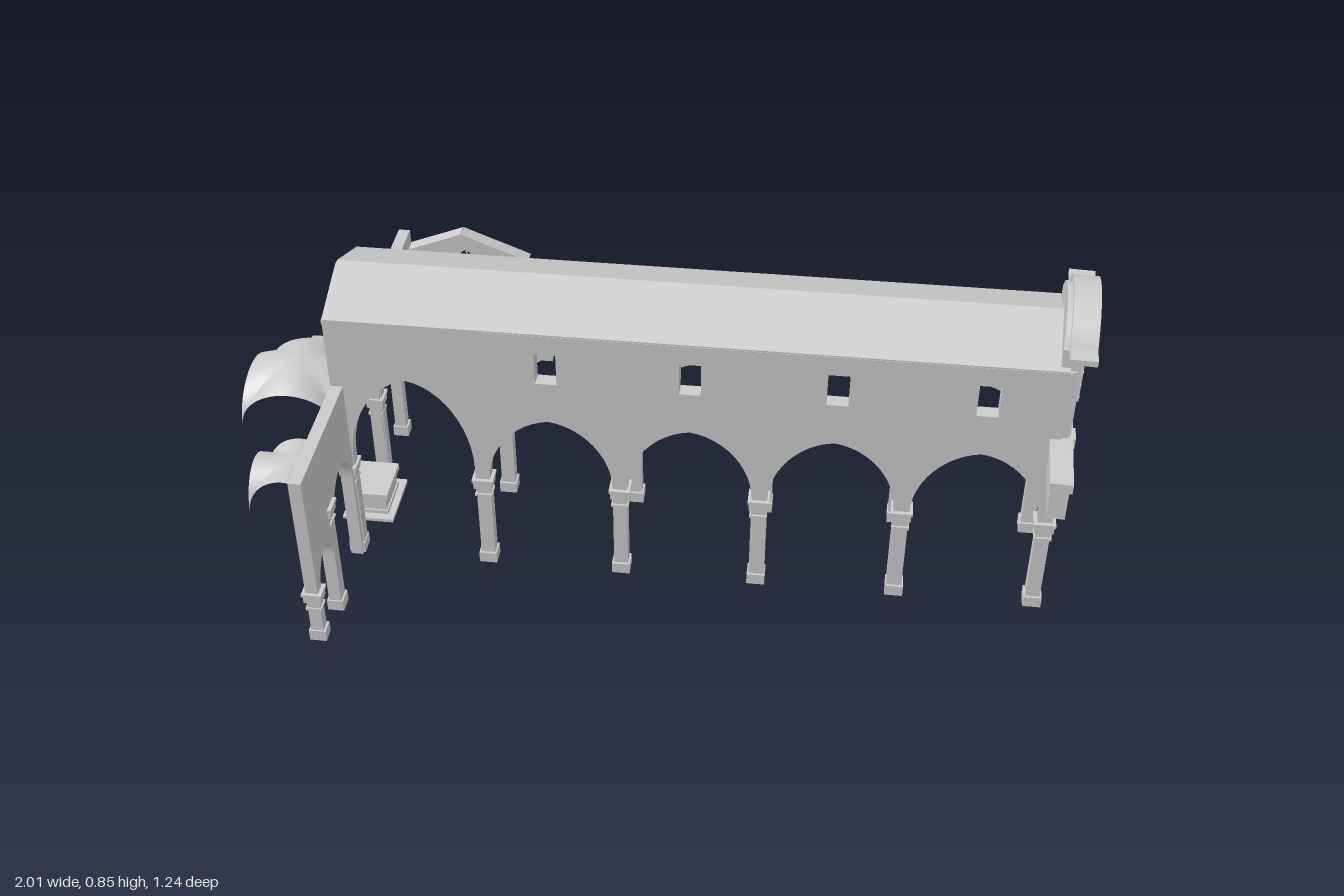
import * as THREE from 'three';
import { toCreasedNormals } from 'three/addons/utils/BufferGeometryUtils.js';

const grey = new THREE.MeshStandardMaterial({ color: 0xcccccc });
const thin = new THREE.MeshStandardMaterial({ color: 0xcccccc, side: THREE.DoubleSide });

function add(parent, name, geometry, x = 0, y = 0, z = 0, material = grey) {
  const mesh = new THREE.Mesh(geometry, material);
  mesh.name = name;
  mesh.position.set(x, y, z);
  parent.add(mesh);
  return mesh;
}

// box given by its minimum and maximum on each axis
function block(parent, name, x0, x1, y0, y1, z0, z1) {
  return add(parent, name, new THREE.BoxGeometry(x1 - x0, y1 - y0, z1 - z0),
    (x0 + x1) / 2, (y0 + y1) / 2, (z0 + z1) / 2);
}

function group(parent, name, x = 0, y = 0, z = 0, turn = 0) {
  const g = new THREE.Group();
  g.name = name;
  g.position.set(x, y, z);
  g.rotation.y = turn;
  parent.add(g);
  return g;
}

const extrude = (shape, depth) =>
  new THREE.ExtrudeGeometry(shape, { depth, bevelEnabled: false, curveSegments: 16 });

// slightly pointed arch, left springing to right springing
function archPoints(c, half, spring, apex, n = 24) {
  return Array.from({ length: n + 1 }, (_, i) => {
    const t = Math.PI * (1 - i / n), u = Math.cos(t);
    return new THREE.Vector2(c + half * u,
      spring + (apex - spring) * (0.9 * Math.sin(t) + 0.1 * (1 - Math.abs(u))));
  });
}

// wall outline: openings are [centre, half width, springing, apex]; feet are the pier bottoms
function arcade(a, b, top, openings, feet) {
  const pts = [new THREE.Vector2(a, feet[0])];
  openings.forEach(([c, h, s, p], i) => pts.push(new THREE.Vector2(c - h, feet[i]),
    ...archPoints(c, h, s, p), new THREE.Vector2(c + h, feet[i + 1])));
  pts.push(new THREE.Vector2(b, feet[feet.length - 1]), ...top.map(([x, y]) => new THREE.Vector2(x, y)));
  return new THREE.Shape(pts);
}

const rectHole = (x0, x1, y0, y1) => new THREE.Path(
  [[x0, y0], [x0, y1], [x1, y1], [x1, y0]].map(p => new THREE.Vector2(...p)));

const archHole = (c, half, y0, spring, apex) => new THREE.Path([
  new THREE.Vector2(c - half, y0), ...archPoints(c, half, spring, apex, 12), new THREE.Vector2(c + half, y0)]);

// base and capital mouldings around a square pier
function pierTrim(parent, x, z, w, d, foot, cap) {
  const ring = (name, y0, y1, e) =>
    block(parent, name, x - w / 2 - e, x + w / 2 + e, y0, y1, z - d / 2 - e, z + d / 2 + e);
  ring('pierBase', foot, foot + 0.03, 0.004);
  ring('capitalNeck', cap - 0.025, cap - 0.018, 0.003);
  ring('capital', cap, cap + 0.02, 0.005);
  ring('capitalSlab', cap + 0.02, cap + 0.028, 0.008);
}

// groin vault: the higher of two crossing barrels, lifted a little at the crown
function vault(parent, x0, x1, z0, z1, spring, rise, crown) {
  const g = new THREE.PlaneGeometry(2, 2, 24, 24).rotateX(-Math.PI / 2);
  const p = g.attributes.position;
  for (let i = 0; i < p.count; i++) {
    const u = Math.sin(p.getX(i) * Math.PI / 2), v = Math.sin(p.getZ(i) * Math.PI / 2);
    const f = t => Math.sqrt(Math.max(0, 1 - t * t));
    p.setXYZ(i, u * (x1 - x0) / 2,
      spring + rise * Math.max(f(u), f(v)) + crown * (1 - u * u) * (1 - v * v), v * (z1 - z0) / 2);
  }
  add(parent, 'groinVault', toCreasedNormals(g, 0.5), (x0 + x1) / 2, 0, (z0 + z1) / 2, thin);
}

// stepped altar
function altar(parent, x, z, w, d) {
  const a = group(parent, 'altar', x, 0, z);
  const tier = (name, s, y0, y1) => block(a, name, -w / 2 * s, w / 2 * s, y0, y1, -d / 2 * s, d / 2 * s);
  tier('altarStep', 1, 0.037, 0.046);
  tier('altarFoot', 0.74, 0.046, 0.056);
  tier('altarBody', 0.68, 0.056, 0.096);
  tier('altarTable', 0.8, 0.096, 0.112);
}

export function createModel() {
  const model = new THREE.Group();
  model.name = 'church';

  // nave side walls with arcades, window bands and piers
  const bays = [-0.237, 0.0975, 0.435, 0.7725];
  const piers = [-0.405, -0.07, 0.265, 0.605, 0.94];
  for (const side of [-1, 1]) {
    const nave = group(model, side > 0 ? 'frontNaveWall' : 'backNaveWall', 0, 0, 0.105);
    const z = side * 0.135;
    const wall = arcade(-0.755, 0.957, [[0.957, 0.71], [-0.755, 0.71]],
      [[-0.572, 0.15, 0.3, side > 0 ? 0.55 : 0.52], ...bays.map(c => [c, 0.15, 0.27, 0.46])],
      [0, 0, 0, 0, 0, 0]);
    const band = new THREE.Shape([[-0.39, 0.495], [0.945, 0.495], [0.945, 0.71], [-0.39, 0.71]]
      .map(p => new THREE.Vector2(...p)));
    for (const c of bays) {
      wall.holes.push(rectHole(c - 0.025, c + 0.025, 0.575, 0.66));
      band.holes.push(rectHole(c - 0.025, c + 0.025, 0.575, 0.66));
    }
    add(nave, 'arcadeWall', extrude(wall, 0.03), 0, 0, z - 0.015);
    add(nave, 'windowBand', extrude(band, 0.006), 0, 0, side > 0 ? 0.15 : -0.156);
    for (const x of piers) pierTrim(nave, x, z, 0.036, 0.034, 0, 0.24);
    pierTrim(nave, -0.74, z, 0.032, 0.036, 0, 0.25);
    block(nave, 'eavesMoulding', -0.755, 0.93, 0.698, 0.712, z - 0.019, z + 0.019);
  }

  // pitched roof, a thin folded slab
  const roof = new THREE.Shape([[-0.155, 0.708], [-0.155, 0.714], [0, 0.777], [0.155, 0.714], [0.155, 0.708], [0, 0.765]]
    .reverse().map(p => new THREE.Vector2(...p)));
  add(model, 'naveRoof', extrude(roof, 1.69), 0.94, 0, 0.105).rotation.y = -Math.PI / 2;

  // transept wall with end gable, rose window and lancet
  const cross = group(model, 'transeptWall', -0.725, 0, 0, -Math.PI / 2);
  const tw = arcade(-0.435, 0.612,
    [[0.612, 0.52], [0.255, 0.52], [0.255, 0.71], [0.105, 0.768], [-0.045, 0.71], [-0.045, 0.52], [-0.435, 0.52]],
    [[-0.3225, 0.0825, 0.25, 0.355], [-0.13, 0.08, 0.25, 0.355], [0.11, 0.12, 0.33, 0.47],
      [0.3525, 0.0825, 0.25, 0.355], [0.5275, 0.0575, 0.18, 0.26]], [0.04, 0, 0, 0, 0, 0.04]);
  tw.holes.push(new THREE.Path().absarc(0.105, 0.6, 0.047, 0, Math.PI * 2));
  tw.holes.push(archHole(-0.23, 0.016, 0.385, 0.455, 0.488));
  add(cross, 'wall', extrude(tw, 0.03));
  add(cross, 'roseWindowRing', new THREE.TorusGeometry(0.048, 0.007, 8, 32), 0.105, 0.6, 0.03);
  block(cross, 'lancetMullion', -0.232, -0.228, 0.385, 0.48, 0.012, 0.018);
  block(cross, 'lancetSill', -0.25, -0.21, 0.377, 0.385, -0.005, 0.035);
  pierTrim(cross, -0.225, 0.015, 0.03, 0.032, 0, 0.21);
  pierTrim(cross, 0.4525, 0.015, 0.034, 0.032, 0, 0.298);
  pierTrim(cross, 0.598, 0.015, 0.028, 0.032, 0.04, 0.16);

  // gabled end wall of the back transept
  const end = group(model, 'backTransept', 0, 0, -0.435);
  const ew = arcade(-0.755, -0.405, [[-0.405, 0.46], [-0.58, 0.53], [-0.755, 0.46]],
    [[-0.6525, 0.07, 0.3, 0.372], [-0.4915, 0.07, 0.3, 0.372]], [0.04, 0.3, 0.04]);
  ew.holes.push(archHole(-0.572, 0.02, 0.4, 0.45, 0.485));
  add(end, 'gableWall', extrude(ew, 0.026));
  block(end, 'lancetMullion', -0.574, -0.57, 0.4, 0.48, 0.01, 0.016);
  add(end, 'column', new THREE.CylinderGeometry(0.011, 0.013, 0.24, 16), -0.572, 0.175, 0.013);
  block(end, 'columnBase', -0.59, -0.554, 0.04, 0.06, -0.005, 0.031);
  add(end, 'columnCapital', new THREE.CylinderGeometry(0.023, 0.012, 0.022, 16), -0.572, 0.286, 0.013);
  block(end, 'columnAbacus', -0.593, -0.551, 0.297, 0.312, -0.006, 0.032);
  for (const x of [-0.414, -0.739]) pierTrim(end, x, 0.013, 0.02, 0.026, 0.04, 0.28);
  for (const s of [-1, 1]) {
    const coping = block(end, 'gableCoping', -0.095, 0.095, -0.005, 0.005, -0.006, 0.032);
    coping.position.set(-0.58 + s * 0.0875, 0.497, 0.013);
    coping.rotation.z = -s * Math.atan2(0.07, 0.175);
  }

  // chapel vaults
  vault(model, -1, -0.755, -0.015, 0.225, 0.355, 0.1, 0.03);
  for (const [z0, z1] of [[-0.41, -0.245], [-0.22, -0.055], [0.26, 0.425]])
    vault(model, -0.935, -0.755, z0, z1, 0.25, 0.105, 0);

  // back screen and altars
  block(model, 'backScreen', -0.9, -0.385, 0.005, 0.303, -0.615, -0.585);
  altar(model, -0.717, -0.537, 0.165, 0.1);
  altar(model, -0.49, -0.537, 0.135, 0.1);
  altar(model, -0.73, 0.105, 0.13, 0.16);

  // facade, turned slightly; local -z faces outward
  const facade = group(model, 'facade', 0.955, 0, 0.12, -Math.PI / 2 - 0.05);
  const R = 0.158, cy = 0.692;
  const face = new THREE.Shape();
  face.moveTo(-0.13, 0.525).lineTo(0.13, 0.525).lineTo(0.13, 0.765);
  face.absarc(0, cy, R - 0.015, Math.asin(0.51), Math.PI - Math.asin(0.51), false);
  face.lineTo(-0.13, 0.765);
  face.holes.push(archHole(-0.013, 0.045, 0.565, 0.588, 0.633));
  add(facade, 'frontWall', extrude(face, 0.045), 0, 0, -0.015);

  // arched cornice in two steps, with short level ends
  const cornice = (outer, thick, reach, z0, depth) => {
    const s = new THREE.Shape(), a = Math.asin((0.777 - cy) / R), inner = outer - thick;
    s.moveTo(reach, 0.777 - thick).lineTo(reach, 0.777);
    s.absarc(0, cy, outer, a, Math.PI - a, false);
    s.lineTo(-reach, 0.777).lineTo(-reach, 0.777 - thick);
    const b = Math.asin((0.777 - thick - cy) / inner);
    s.absarc(0, cy, inner, Math.PI - b, b, true);
    add(facade, 'archedCornice', extrude(s, depth), 0, 0, z0);
  };
  cornice(R, 0.014, 0.18, -0.042, 0.06);
  cornice(R - 0.01, 0.024, 0.165, -0.03, 0.045);

  // facade window: surround, bars and hood
  const rim = new THREE.Shape(archHole(-0.013, 0.054, 0.56, 0.588, 0.643).getPoints());
  rim.holes.push(archHole(-0.013, 0.045, 0.565, 0.588, 0.633));
  add(facade, 'windowSurround', extrude(rim, 0.012), 0, 0, -0.025);
  for (let i = -3; i <= 3; i++)
    block(facade, 'windowBar', -0.0145 + i * 0.017, -0.0115 + i * 0.017, 0.56, 0.658, -0.03, -0.026);
  for (const y of [0.575, 0.61, 0.645])
    block(facade, 'windowCrossBar', -0.072, 0.046, y, y + 0.003, -0.03, -0.026);
  block(facade, 'windowHood', -0.1, 0.075, 0.695, 0.704, -0.035, -0.015);
  block(facade, 'windowHoodUnderside', -0.09, 0.065, 0.688, 0.695, -0.026, -0.015);

  // cross beam below the facade wall
  block(facade, 'beam', -0.3, 0.3, 0.425, 0.5, -0.015, 0.026);
  block(facade, 'beamLip', -0.3, 0.3, 0.5, 0.525, -0.022, 0.03);
  for (const x of [-0.115, 0.115]) {
    block(facade, 'beamBracket', x - 0.016, x + 0.016, 0.472, 0.498, -0.026, -0.01);
    block(facade, 'beamBracketTop', x - 0.021, x + 0.021, 0.498, 0.525, -0.028, -0.01);
  }
  return model;
}
